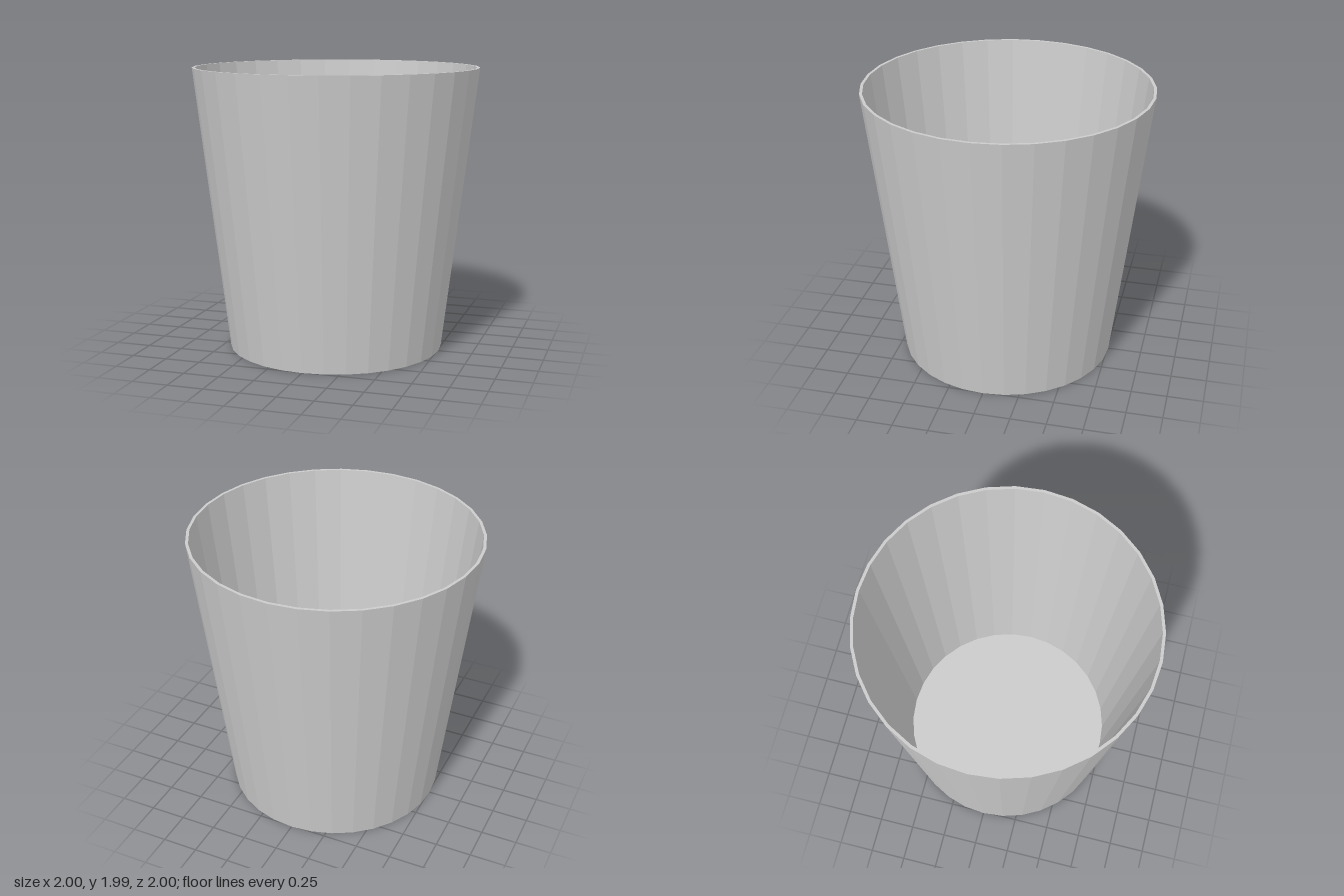
import * as THREE from 'three';

const SIDES = 32;

export function createModel() {
  const group = new THREE.Group();
  group.name = 'cup';
  const material = new THREE.MeshStandardMaterial({ color: 0xcccccc, flatShading: true });

  const addLathe = (name, profile) => {
    const points = profile.map(([r, y]) => new THREE.Vector2(r, y));
    const mesh = new THREE.Mesh(new THREE.LatheGeometry(points, SIDES), material);
    mesh.name = name;
    group.add(mesh);
  };

  // Tapered wall: up the outside, over the thin rim, down the inside
  addLathe('wall', [[0.76, 0], [1, 1.99], [0.98, 1.99], [0.748, 0.02]]);

  // Underside and inner floor
  addLathe('base', [[0, 0], [0.76, 0]]);
  addLathe('floor', [[0.748, 0.02], [0, 0.02]]);

  return group;
}
